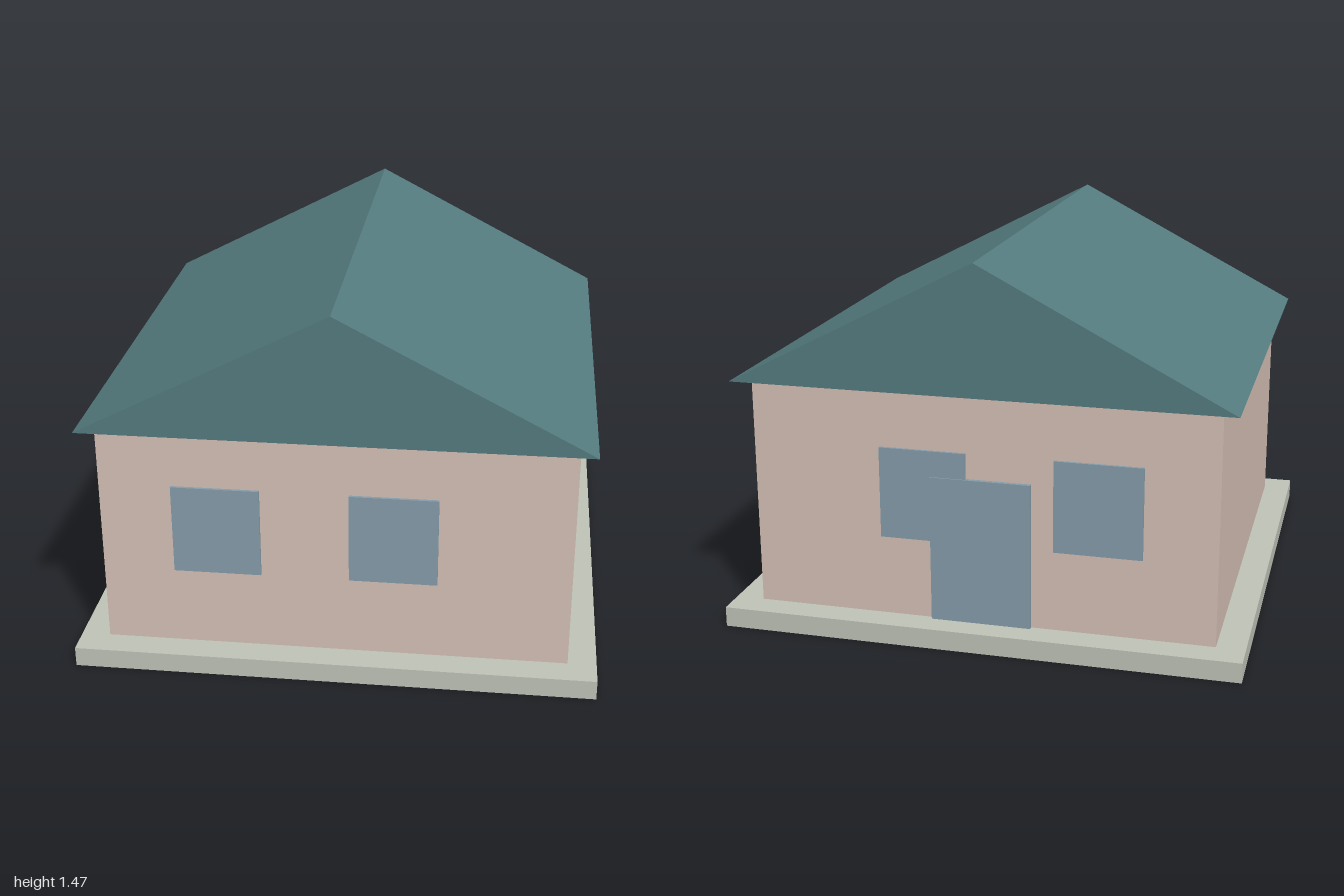
import * as THREE from 'three';

const paint = (color) => new THREE.MeshStandardMaterial({ color });

export function createModel() {
  const house = new THREE.Group();
  house.name = 'house';
  const stone = paint(0xc0c4b8), plaster = paint(0xd6c1b6);
  const tile = paint(0x547c80), glass = paint(0x869dab);

  // Box given by its lower and upper limits on each axis
  const box = (name, material, [x0, x1], [y0, y1], [z0, z1]) => {
    const mesh = new THREE.Mesh(new THREE.BoxGeometry(x1 - x0, y1 - y0, z1 - z0), material);
    mesh.position.set((x0 + x1) / 2, (y0 + y1) / 2, (z0 + z1) / 2);
    mesh.name = name;
    house.add(mesh);
  };

  // Foundation slab and walls
  box('foundation', stone, [-1, 1], [0, 0.078], [-1, 1]);
  box('walls', plaster, [-0.89, 0.89], [0.078, 0.968], [-0.89, 0.89]);

  // Gable roof: a closed triangular prism, just clear of the walls
  const gable = new THREE.Shape([
    new THREE.Vector2(-0.953, 0.979),
    new THREE.Vector2(0.953, 0.979),
    new THREE.Vector2(0, 1.474),
  ]);
  const roof = new THREE.Mesh(
    new THREE.ExtrudeGeometry(gable, { depth: 1.91, bevelEnabled: false }), tile);
  roof.position.z = -0.955;
  roof.name = 'roof';
  house.add(roof);

  // Two windows on the front and two on the back
  for (const [column, x] of [['Right', -0.447], ['Left', 0.222]]) {
    const span = [x - 0.167, x + 0.167];
    box('frontWindow' + column, glass, span, [0.393, 0.748], [0.88, 0.901]);
    box('backWindow' + column, glass, span, [0.393, 0.748], [-0.901, -0.88]);
  }

  // Door on the back, standing slightly proud of the windows
  box('door', glass, [-0.193, 0.193], [0.078, 0.648], [-0.906, -0.88]);

  return house;
}
